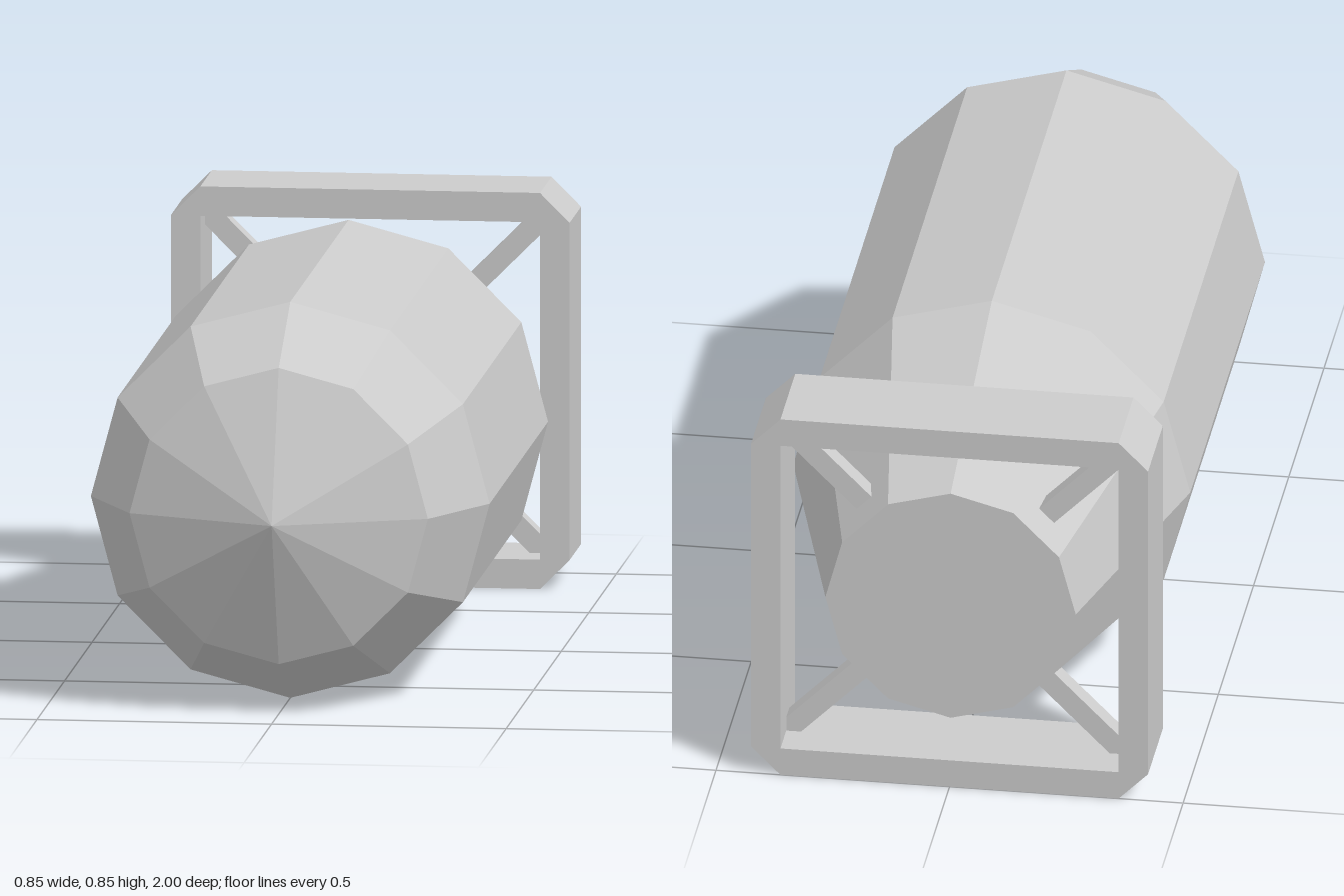
import * as THREE from 'three';

const R = 0.425; // body radius, also half the frame width and the axis height

export function createModel() {
  const model = new THREE.Group();
  const material = new THREE.MeshStandardMaterial({ color: 0xcccccc, flatShading: true });
  const axis = new THREE.Group();
  axis.name = 'bomb';
  axis.position.y = R;
  model.add(axis);

  function add(name, geometry, parent = axis) {
    const mesh = new THREE.Mesh(geometry, material);
    mesh.name = name;
    parent.add(mesh);
    return mesh;
  }

  // Twelve-sided body, from the flat tail to the pointed nose
  const profile = [
    [0, -0.985], [0.268, -0.985], [R, -0.4], [R, 0.66], [0.318, 0.87], [0, 1],
  ].map(([r, z]) => new THREE.Vector2(r, z));
  add('body', new THREE.LatheGeometry(profile, 12).rotateX(Math.PI / 2));

  // Square tail frame with chamfered outer corners and a square opening
  const c = 0.362;
  const outline = new THREE.Shape([
    [c, -R], [R, -c], [R, c], [c, R], [-c, R], [-R, c], [-R, -c], [-c, -R],
  ].map(([x, y]) => new THREE.Vector2(x, y)));
  outline.holes.push(new THREE.Path(
    [[-c, -c], [-c, c], [c, c], [c, -c]].map(([x, y]) => new THREE.Vector2(x, y))
  ));
  const frame = new THREE.ExtrudeGeometry(outline, { depth: 0.21, bevelEnabled: false });
  add('tailFrame', frame.translate(0, 0, -1));

  // Diagonal struts joining the tail to the frame corners
  const struts = new THREE.Group();
  struts.name = 'tailStruts';
  axis.add(struts);
  const inner = 0.22, outer = 0.525;
  for (let i = 0; i < 4; i++) {
    const bar = new THREE.BoxGeometry(outer - inner, 0.045, 0.045);
    bar.translate((inner + outer) / 2, 0, -0.895);
    add('tailStrut', bar, struts).rotation.z = Math.PI / 4 + i * Math.PI / 2;
  }

  return model;
}
